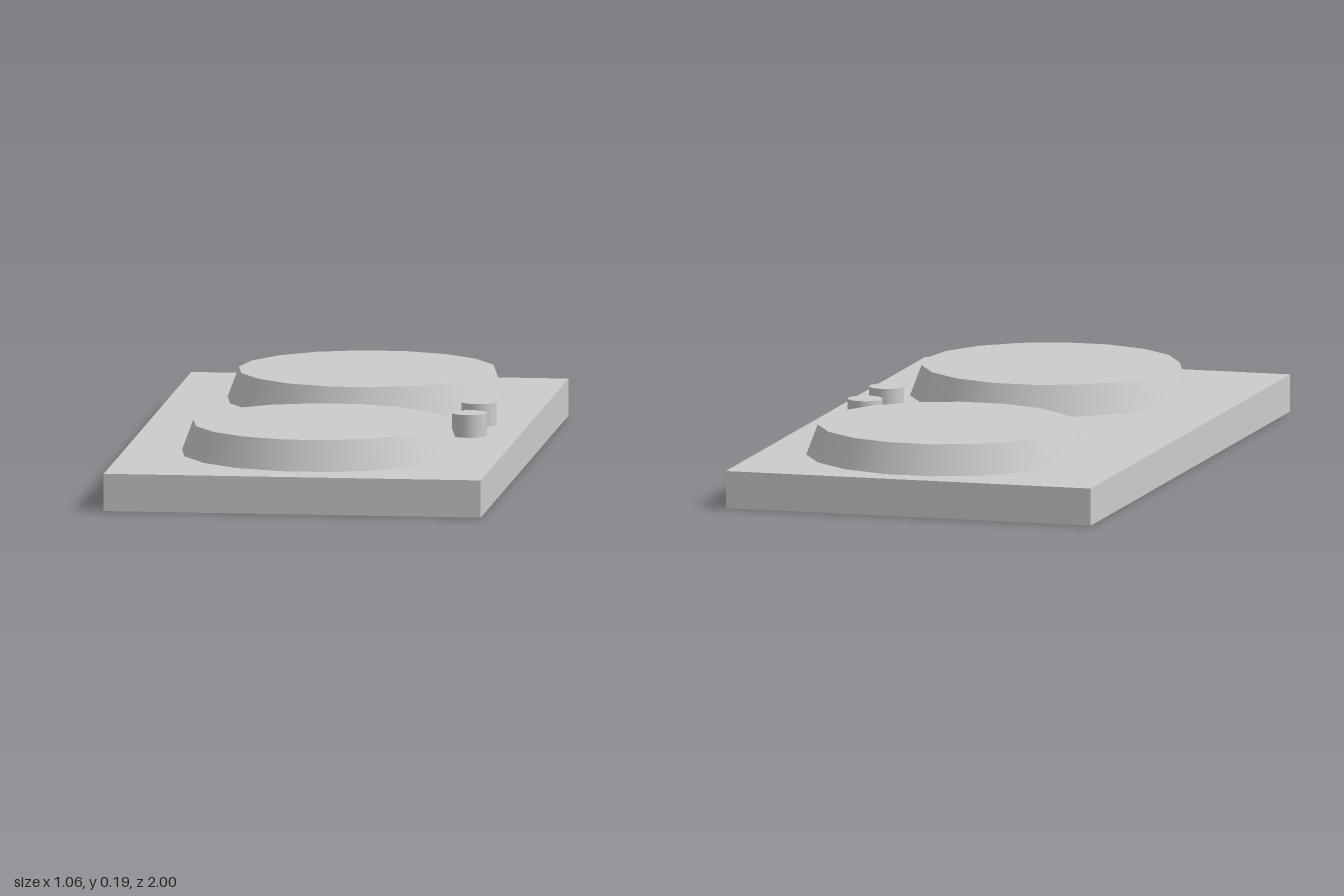
import * as THREE from 'three';

const BASE_H = 0.105;

export function createModel() {
  const model = new THREE.Group();
  model.name = 'twoPlateCooktop';
  const grey = new THREE.MeshStandardMaterial({ color: 0xcccccc });

  const add = (name, geometry, x, y, z) => {
    const mesh = new THREE.Mesh(geometry, grey);
    mesh.name = name;
    mesh.position.set(x, y, z);
    model.add(mesh);
  };

  // Flat slab
  add('base', new THREE.BoxGeometry(1.06, BASE_H, 2), 0, BASE_H / 2, 0);

  // Tapered 18-sided hot plates, turned so a corner points along x
  const plateH = 0.085;
  const plate = new THREE.CylinderGeometry(0.361, 0.393, plateH, 18).rotateY(Math.PI / 2);
  add('rearPlate', plate, 0.022, BASE_H + plateH / 2, -0.538);
  add('frontPlate', plate, 0.022, BASE_H + plateH / 2, 0.502);

  // Control knobs between the plates, near the left edge
  const knobH = 0.064;
  const knob = new THREE.CylinderGeometry(0.049, 0.049, knobH, 32);
  add('rearKnob', knob, 0.391, BASE_H + knobH / 2, -0.084);
  add('frontKnob', knob, 0.391, BASE_H + knobH / 2, 0.131);

  return model;
}
